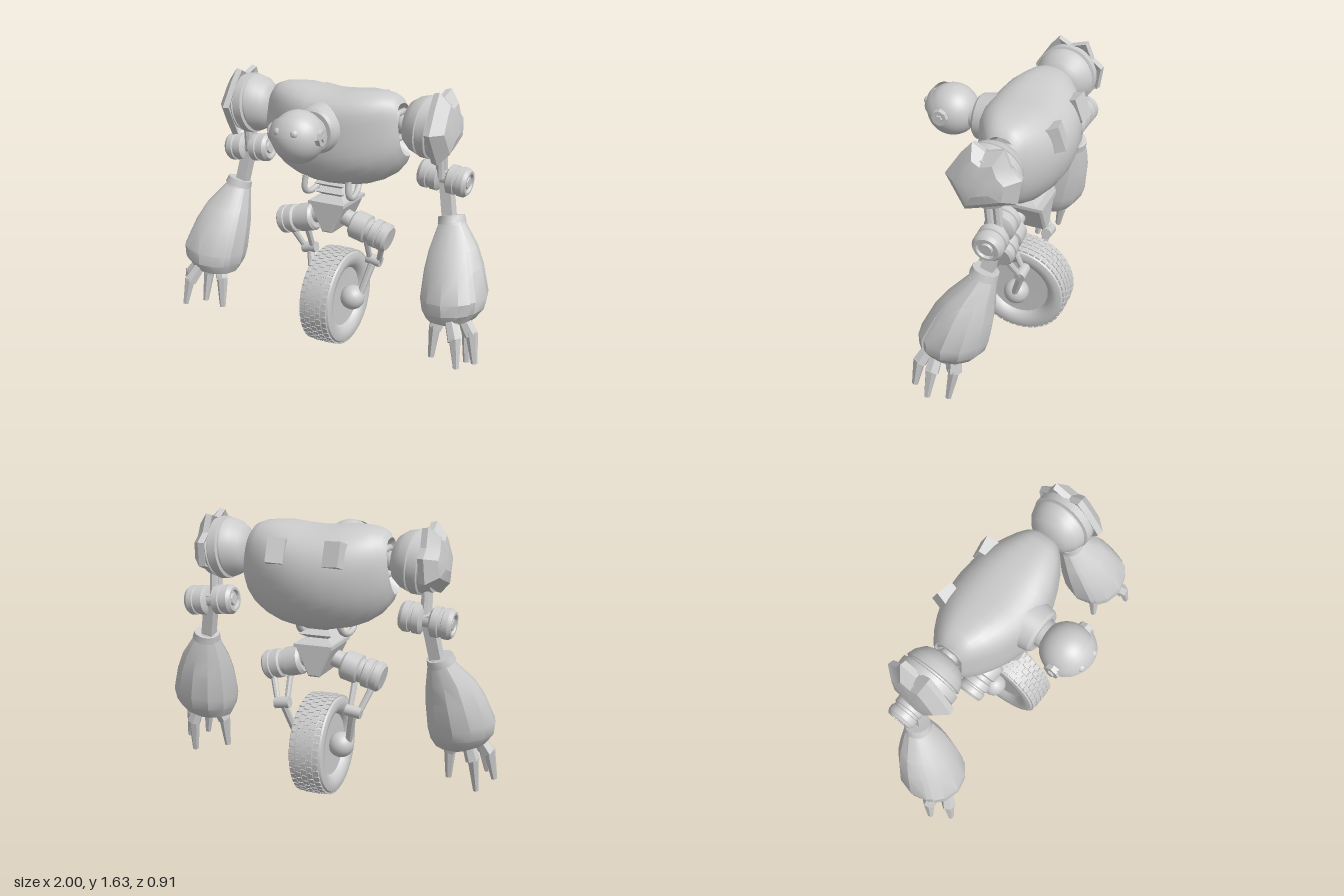
import * as THREE from 'three';
import { mergeGeometries, toCreasedNormals } from 'three/addons/utils/BufferGeometryUtils.js';

const mat = new THREE.MeshStandardMaterial({ color: 0xcccccc });
const matDouble = new THREE.MeshStandardMaterial({ color: 0xcccccc, side: THREE.DoubleSide });
const V = (x, y, z) => new THREE.Vector3(x, y, z);

function add(parent, name, geo, pos = [0, 0, 0], rot = [0, 0, 0], m = mat) {
  const mesh = new THREE.Mesh(geo, m);
  mesh.name = name;
  mesh.position.set(...pos);
  mesh.rotation.set(...rot);
  parent.add(mesh);
  return mesh;
}

// Closed skin over rings of equal length, with end caps; turned outward by its signed volume.
function loft(rings, crease = 0.6) {
  const n = rings[0].length, pts = rings.flat(), idx = [];
  for (let i = 0; i < rings.length - 1; i++) for (let j = 0; j < n; j++) {
    const a = i * n + j, b = i * n + (j + 1) % n;
    idx.push(a, b, a + n, b, b + n, a + n);
  }
  [0, rings.length - 1].forEach((r, k) => {
    const c = pts.length;
    pts.push(rings[r].reduce((s, p) => s.add(p), V(0, 0, 0)).divideScalar(n));
    for (let j = 0; j < n; j++) {
      const a = r * n + j, b = r * n + (j + 1) % n;
      idx.push(...(k ? [a, b, c] : [b, a, c]));
    }
  });
  let vol = 0;
  for (let i = 0; i < idx.length; i += 3) vol += pts[idx[i]].dot(V(0, 0, 0).crossVectors(pts[idx[i + 1]], pts[idx[i + 2]]));
  if (vol < 0) idx.reverse();
  const g = new THREE.BufferGeometry().setFromPoints(pts);
  g.setIndex(idx);
  return toCreasedNormals(g, crease);
}

// Tapered bar between two points.
function bar(parent, name, a, b, r1, r2 = r1, sides = 16) {
  const A = V(...a), B = V(...b);
  const geo = toCreasedNormals(new THREE.CylinderGeometry(r2, r1, A.distanceTo(B), sides), 0.6);
  const mesh = add(parent, name, geo);
  mesh.position.copy(A).lerp(B, 0.5);
  mesh.quaternion.setFromUnitVectors(V(0, 1, 0), B.sub(A).normalize());
  return mesh;
}

// Turned part: profile of [radius, height], axis along y.
const turned = (profile, seg = 40) =>
  toCreasedNormals(new THREE.LatheGeometry(profile.map(p => new THREE.Vector2(...p)), seg), 0.6);

function buildBody(root) {
  // side profile [z, y], scaled at stations along x
  const side = [[.06, 1.5], [.085, 1.35], [.07, 1.16], [-.03, 1.05], [-.16, 1.01], [-.27, 1.015], [-.36, 1.09],
    [-.42, 1.2], [-.44, 1.35], [-.40, 1.47], [-.3, 1.55], [-.17, 1.575], [-.03, 1.565]];
  const outline = new THREE.CatmullRomCurve3(side.map(([z, y]) => V(0, y, z)), true).getPoints(40).slice(0, 40);
  const half = [[0, 1, 1.01, 1.572], [.1, .97, 1.015, 1.578], [.2, .87, 1.035, 1.59], [.28, .74, 1.07, 1.588],
    [.35, .59, 1.12, 1.583], [.4, .45, 1.18, 1.565], [.425, .35, 1.23, 1.53], [.36, .27, 1.28, 1.5]];
  const stations = [...half.slice(1).reverse().map(([x, ...r]) => [-x, ...r]), ...half];
  add(root, 'torso', loft(stations.map(([x, f, lo, hi]) => outline.map(p => {
    const y = lo + (p.y - 1.01) / 0.565 * (hi - lo);
    return V(x * (1 + (1.4 - y) * 0.3 * Math.abs(x) / 0.4), y, -.17 + (p.z + .17) * f);
  })), 0.7));
  // neck
  add(root, 'neckCollar', turned([[.09, -.12], [.155, -.12], [.13, .03], [.115, .045], [.09, .045], [.08, 0]]),
    [0, 1.385, .09], [Math.PI / 2, 0, 0], matDouble);
  bar(root, 'neck', [0, 1.39, .03], [0, 1.39, .2], .08);
  for (const s of [-1, 1]) {
    add(root, 'backVent', new THREE.BoxGeometry(.1, .14, .08), [s * .17, 1.455, -.385], [.35, s * .2, 0]);
    const loop = new THREE.CatmullRomCurve3([V(.14, 1.07, -.03), V(.145, .98, -.03), V(.14, .955, -.09), V(.13, .98, -.17), V(.12, 1.06, -.22)]);
    add(root, 'waistLoop', new THREE.TubeGeometry(loop, 20, .018, 10)).scale.x = s;
  }
  // square bellows waist
  const rings = [];
  for (let i = 0; i <= 6; i++) {
    const r = i % 2 ? .06 : .1, y = .92 + i * .025;
    rings.push([[1, 1], [1, -1], [-1, -1], [-1, 1]].map(([x, z]) => V(x * r, y, z * r - .155)));
  }
  add(root, 'bellows', loft(rings, 0.1));
  // wedge pelvis
  const wedge = new THREE.Shape([[-.1, .9], [-.025, .745], [.025, .745], [.1, .9]].map(p => new THREE.Vector2(...p)));
  add(root, 'pelvis', new THREE.ExtrudeGeometry(wedge, { depth: .24, bevelSize: .012, bevelThickness: .015, bevelSegments: 1 }), [0, 0, -.275]);
  add(root, 'pelvisPlate', new THREE.BoxGeometry(.23, .02, .28), [0, .91, -.155]);
}

function buildHead(root) {
  const head = new THREE.Group();
  head.name = 'head';
  head.position.set(0, 1.395, .29);
  root.add(head);
  add(head, 'skull', new THREE.SphereGeometry(.148, 40, 28));
  // hinged jaw shell: a crescent turned partway about the ear axis
  const arc = [];
  for (let i = 0; i <= 20; i++) {
    const a = .3 + (Math.PI - .6) * i / 20;
    arc.push(new THREE.Vector2(Math.sin(a) * .162, -Math.cos(a) * .162));
  }
  arc.push(new THREE.Vector2(.04, .14));
  arc.unshift(new THREE.Vector2(.04, -.14));
  add(head, 'jaw', new THREE.LatheGeometry(arc, 16, Math.PI * .05, Math.PI * .24), [0, 0, 0], [0, 0, -Math.PI / 2], matDouble)
    .rotation.set(0, 0, Math.PI / 2);
  for (const s of [-1, 1]) {
    add(head, 'eye', new THREE.SphereGeometry(.026, 20, 14), [s * .05, .05, .127]);
    bar(head, 'ear', [s * .12, .015, .015], [s * .163, .015, .015], .05, .046, 8);
    bar(head, 'earBolt', [s * .16, .015, .015], [s * .174, .015, .015], .022, .022, 6);
  }
}

function buildArm(arm) {
  // ball shoulder with grooves
  bar(arm, 'shoulderAxle', [.33, 1.4, -.175], [.46, 1.41, -.175], .05);
  add(arm, 'shoulderSocket', new THREE.TorusGeometry(.085, .02, 8, 6), [.39, 1.4, -.175], [0, Math.PI / 2, 0]);
  add(arm, 'axleBall', new THREE.SphereGeometry(.055, 20, 14), [.42, 1.41, -.175]);
  add(arm, 'shoulder', turned([[0, .12], [.06, .12], [.12, .095], [.155, .05], [.17, .005], [.16, 0], [.16, -.01], [.178, -.015],
    [.178, -.06], [.165, -.065], [.165, -.075], [.172, -.08], [.15, -.13], [0, -.14]].reverse()), [.55, 1.42, -.175], [0, 0, Math.PI / 2 - .1]);
  // faceted shoulder guard
  const guard = [[.04, 1.42], [-.05, 1.56], [-.11, 1.63], [-.18, 1.59], [-.28, 1.62], [-.32, 1.52], [-.38, 1.47], [-.36, 1.33], [-.25, 1.29], [-.07, 1.23]];
  const plate = (x, k) => guard.map(([z, y]) => V(x + (1.42 - y) * .04, 1.42 + (y - 1.42) * k, -.165 + (z + .165) * k));
  add(arm, 'shoulderGuard', loft([plate(.66, .5), plate(.625, .96), plate(.66, 1), plate(.72, .66), plate(.735, .3)], .35));
  // upper arm and elbow
  for (const z of [-.2, -.25]) bar(arm, 'upperArm', [.635, 1.33, z + .02], [.635, 1.12, z], .025, .025, 8);
  const drum = [[0, -.065], [.06, -.065], [.085, -.05], [.085, -.012], [.077, -.008], [.077, .008], [.085, .012], [.085, .045],
    [.07, .065], [.055, .065], [.05, .05], [.035, .05], [.03, .062], [0, .062]];
  const elbow = new THREE.Group();
  elbow.name = 'elbow';
  elbow.position.set(.65, 1.115, -.24);
  elbow.rotation.z = -.1;
  arm.add(elbow);
  bar(elbow, 'elbowAxle', [-.1, 0, 0], [.1, 0, 0], .045);
  for (const s of [-1, 1]) add(elbow, 'elbowDrum', turned(drum), [s * .083, 0, 0], [0, 0, -s * Math.PI / 2]);
  add(arm, 'forearmRod', new THREE.BoxGeometry(.065, .28, .07), [.675, 1.01, -.225], [-.14, 0, .18]);
  // forearm sections [y, x, z, rx, rz]
  const cuts = [[.9, .715, -.2, .068, .058], [.87, .72, -.195, .078, .07], [.75, .757, -.14, .138, .128], [.65, .778, -.105, .166, .165],
    [.5, .805, -.06, .19, .192], [.43, .808, -.05, .178, .18], [.37, .80, -.04, .14, .14], [.345, .80, -.04, .08, .09]];
  const at = ([y, x, z, rx, rz], a, k) => V(x + Math.sin(a) * rx * k, y + .12 * Math.sin(a) * rx, z + Math.cos(a) * rz * k);
  add(arm, 'forearm', loft(cuts.map(c => [...Array(12)].map((_, i) => at(c, i * Math.PI / 6, 1.015))), .5));
  const panel = cuts.slice(1, 6).map(c => {
    const angles = [-.85, -.5, 0, .5, .85];
    return [...angles.map(a => at(c, a, 1.04)), ...angles.reverse().map(a => at(c, a, .9))];
  });
  add(arm, 'forearmPanel', loft(panel, .5));
  bar(arm, 'wristCuff', [.72, .87, -.195], [.71, .91, -.205], .082, .075, 12);
  // fingers: base, knuckle, tip
  const fingers = [[[.84, .4, .07], [.89, .3, .12], [.915, .15, .145]], [[.89, .4, .01], [.95, .31, .02], [.982, .15, .04]],
    [[.85, .4, -.08], [.885, .29, -.085], [.9, .1, -.05]], [[.76, .39, -.02], [.725, .3, .01], [.715, .125, .03]]];
  for (const [a, b, c] of fingers) {
    bar(arm, 'fingerBase', a, b, .035, .042, 6);
    bar(arm, 'fingerTip', [b[0], b[1] + .02, b[2]], c, .036, .018, 6);
  }
}

function buildLeg(leg) {
  bar(leg, 'hipAxle', [.03, .83, -.13], [.14, .79, -.13], .05);
  const hip = new THREE.Group();
  hip.name = 'hip';
  hip.position.set(.24, .755, -.13);
  hip.rotation.z = -Math.PI / 2 - .25;
  leg.add(hip);
  add(hip, 'hipMotor', turned([[0, -.12], [.07, -.12], [.085, -.105], [.085, -.02], [.07, -.012], [.07, .012], [.085, .02], [.085, .06],
    [.077, .064], [.077, .074], [.085, .078], [.085, .11], [.07, .125], [0, .125]]));
  // paired thigh links, knee and shin
  bar(leg, 'thighOuter', [.325, .72, -.13], [.25, .53, -.22], .02, .017, 8);
  bar(leg, 'thighInner', [.2, .74, -.13], [.195, .53, -.22], .02, .017, 8);
  bar(leg, 'knee', [.175, .545, -.22], [.265, .53, -.22], .033);
  bar(leg, 'shin', [.215, .53, -.22], [.16, .31, -.147], .024, .02, 8);
  add(leg, 'hub', new THREE.SphereGeometry(.075, 28, 20), [.115, .3, -.145]);
}

function buildWheel(root) {
  const wheel = new THREE.Group();
  wheel.name = 'wheel';
  wheel.position.set(0, .295, -.145);
  root.add(wheel);
  const half = [[0, .06], [.18, .062], [.19, .08], [.215, .098], [.25, .104], [.275, .096], [.288, .075], [.291, .03]];
  const profile = [...half.map(([r, x]) => [r, -x]), ...half.slice().reverse()];
  add(wheel, 'tyre', turned(profile, 64), [0, 0, 0], [0, 0, Math.PI / 2]);
  // staggered tread blocks
  const blocks = [];
  for (let row = -2; row <= 2; row++) for (let i = 0; i < 44; i++) {
    const b = new THREE.BoxGeometry(.03, .01, .032);
    b.translate(row * .036, Math.abs(row) === 2 ? .286 : .29, 0);
    b.rotateX((i + (row & 1) / 2) * Math.PI * 2 / 44);
    blocks.push(b);
  }
  add(wheel, 'tread', mergeGeometries(blocks));
}

export function createModel() {
  const root = new THREE.Group();
  root.name = 'wheeledRobot';
  buildBody(root);
  buildHead(root);
  buildWheel(root);
  for (const [s, label] of [[1, 'left'], [-1, 'right']]) {
    for (const [part, build] of [['Arm', buildArm], ['Leg', buildLeg]]) {
      const g = new THREE.Group();
      g.name = label + part;
      g.scale.x = s;
      build(g);
      root.add(g);
    }
  }
  return root;
}
